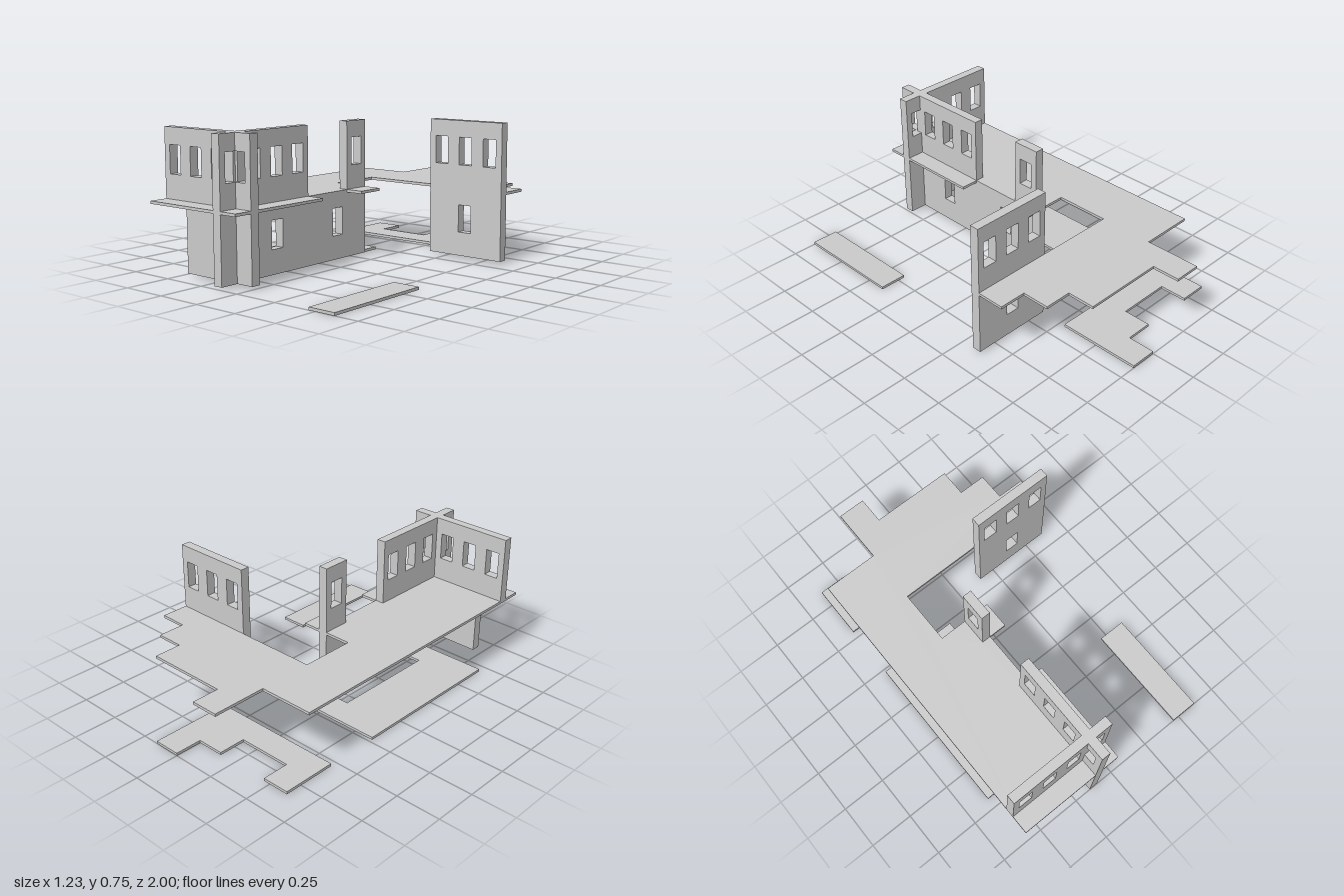
import * as THREE from 'three';

const U = 2 / 13;            // plan module
const T = U / 3;             // wall thickness
const SLAB = 0.015;          // floor thickness
const STOREY = 0.37;         // floor to floor height
const SILL = 0.13, WIN_W = 0.08, WIN_H = 0.15;

const material = new THREE.MeshStandardMaterial({ color: 0xcccccc, flatShading: true });

// Floor plate from a plan outline given in modules (x, z)
function slab(name, level, outline, hole) {
  const toPoints = (list) => list.map(([x, z]) => new THREE.Vector2(x * U, z * U));
  const shape = new THREE.Shape(toPoints(outline));
  if (hole) shape.holes.push(new THREE.Path(toPoints(hole)));
  const mesh = new THREE.Mesh(new THREE.ExtrudeGeometry(shape, { depth: SLAB, bevelEnabled: false }), material);
  mesh.rotation.x = Math.PI / 2;
  mesh.position.y = level * STOREY + SLAB;
  mesh.name = name;
  return mesh;
}

// One storey of wall from a to b (modules), with window centres in modules.
// axis 'x': runs along x with its back face at z = at; axis 'z': runs along z with its right-hand face at x = at.
function wall(name, level, axis, a, b, at, windows = []) {
  const shape = new THREE.Shape([[a, 0], [b, 0], [b, 1], [a, 1]].map(([s, h]) => new THREE.Vector2(s * U, h * STOREY)));
  for (const c of windows) {
    const l = c * U - WIN_W / 2, r = c * U + WIN_W / 2, t = SILL + WIN_H;
    shape.holes.push(new THREE.Path([[l, SILL], [l, t], [r, t], [r, SILL]].map(([x, y]) => new THREE.Vector2(x, y))));
  }
  const mesh = new THREE.Mesh(new THREE.ExtrudeGeometry(shape, { depth: T, bevelEnabled: false }), material);
  if (axis === 'z') {
    mesh.rotation.y = -Math.PI / 2;
    mesh.position.x = at * U + T;
  } else {
    mesh.position.z = at * U;
  }
  mesh.position.y = level * STOREY + SLAB;
  mesh.name = name;
  return mesh;
}

export function createModel() {
  const model = new THREE.Group();
  model.name = 'ruinedBuilding';

  // Ground floor plates
  model.add(
    slab('groundFloorBack', 0, [
      [1, -6.5], [1, -3.5], [-4, -3.5], [-4, -5.5], [-3, -5.5], [-3, -4.5],
      [-1, -4.5], [-1, -5.5], [0, -5.5], [0, -6.5],
    ]),
    slab('groundFloorSide', 0,
      [[-4, -1.5], [-1, -1.5], [-1, 4.5], [-4, 4.5]],
      [[-2, -0.5], [-2, 3.5], [-1.001, 3.5], [-1.001, -0.5]]),
    slab('groundFloorStrip', 0, [[3, 2.5], [4, 2.5], [4, 6.5], [3, 6.5]]),
  );

  // Upper floor plate with its stepped, broken edge
  model.add(slab('upperFloor', 1, [
    [-4, 6.5], [-4, -4.5], [-2, -4.5], [-2, -6.5], [-1, -6.5], [-1, -5.5], [2, -5.5],
    [2, -4.5], [3, -4.5], [3, -3.5], [4, -3.5], [4, -2.5], [-2, -2.5], [-2, -0.5],
    [0, -0.5], [0, 0.5], [-1, 0.5], [-1, 2.5], [0, 2.5], [0, 6.5],
  ]));

  // Lower storey walls
  model.add(
    wall('lowerLongWall', 0, 'z', -0.5, 6.5, -1, [1, 4]),
    wall('lowerFrontWall', 0, 'x', -3, 0, 5.5),
    wall('lowerBackWall', 0, 'x', 1, 4, -2.5, [2.5]),
  );

  // Upper storey walls
  model.add(
    wall('upperLongWall', 1, 'z', 2.5, 6.5, -1, [3, 4, 5, 6]),
    wall('upperWallPier', 1, 'z', -0.5, 0.5, -1, [0]),
    wall('upperFrontWall', 1, 'x', -4, 0, 5.5, [-3.5, -2.5, -1.5, -0.5]),
    wall('upperBackWall', 1, 'x', 1, 4, -2.5, [1.5, 2.5, 3.5]),
  );
  return model;
}
